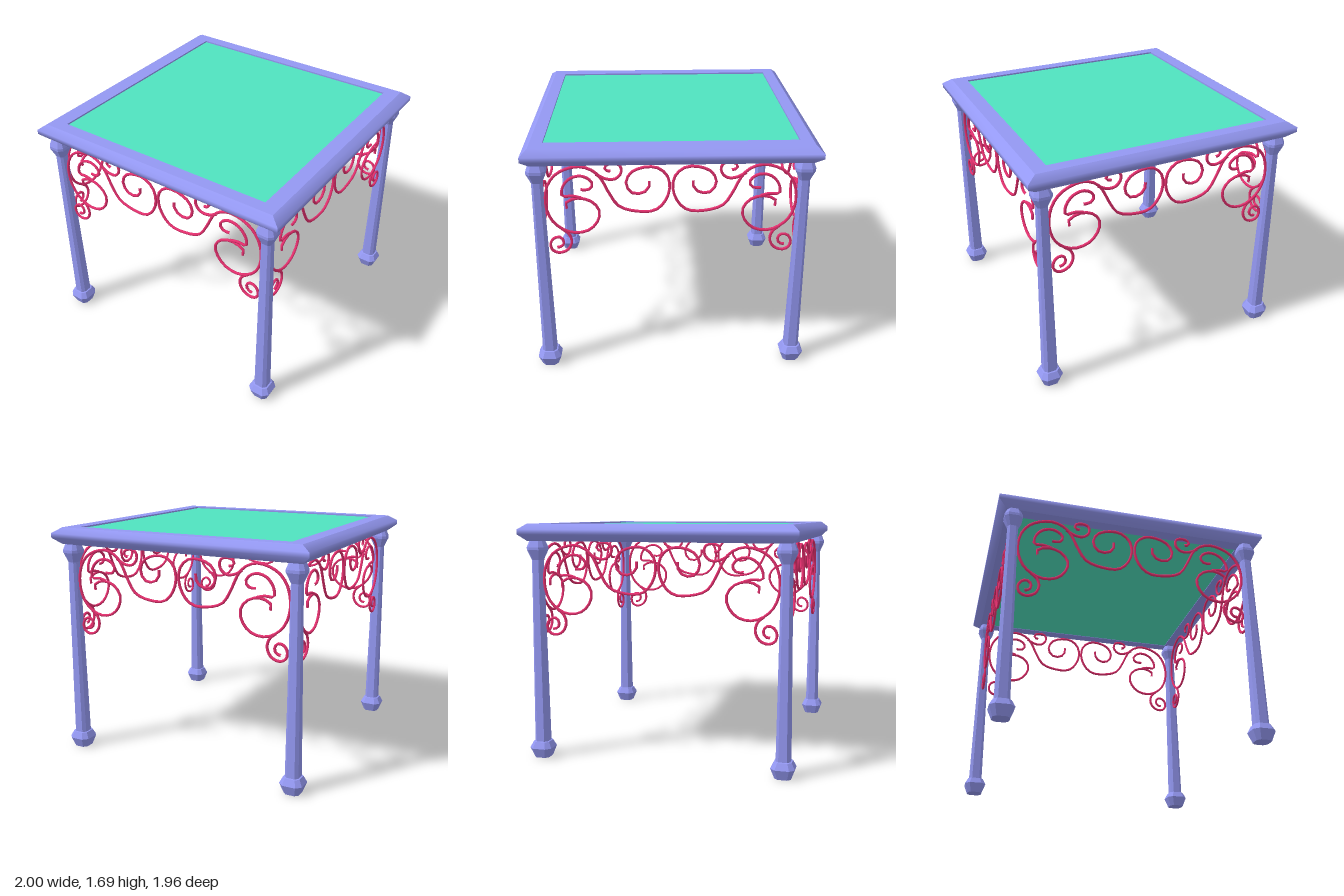
import * as THREE from 'three';

const frameMat = new THREE.MeshStandardMaterial({ color: 0x9498f2 });
const legMat = new THREE.MeshStandardMaterial({ color: 0x9498f2, flatShading: true });
const panelMat = new THREE.MeshStandardMaterial({ color: 0x50e2bf });
const ironMat = new THREE.MeshStandardMaterial({ color: 0xe83070 });

// Mitred rim: each strip is a run of [halfX, halfZ, y] swept along four sides,
// smooth within a strip and sharp between strips
const rimStrips = [
  [[0.83, 0.845, 1.573], [0.83, 0.845, 1.694]],
  [[0.83, 0.845, 1.694], [0.935, 0.93, 1.694]],
  [[0.935, 0.93, 1.694], [1, 0.978, 1.654], [1, 0.978, 1.62], [0.94, 0.93, 1.573]],
  [[0.94, 0.93, 1.573], [0.83, 0.845, 1.573]],
];
function rimGeometry() {
  const corners = [[-1, 1], [1, 1], [1, -1], [-1, -1]];
  const pos = [], index = [];
  corners.forEach((a, k) => {
    const b = corners[(k + 1) % 4];
    for (const strip of rimStrips) {
      strip.forEach(([hx, hz, y], i) => {
        const n = pos.length / 3;
        pos.push(a[0] * hx, y, a[1] * hz, b[0] * hx, y, b[1] * hz);
        if (i < strip.length - 1) index.push(n, n + 2, n + 3, n, n + 3, n + 1);
      });
    }
  });
  const g = new THREE.BufferGeometry();
  g.setAttribute('position', new THREE.Float32BufferAttribute(pos, 3));
  g.setIndex(index);
  g.computeVertexNormals();
  return g;
}

// Leg: [distance from axis to flat, height], eight-sided with narrow corner chamfers
const legProfile = [
  [0, 0], [0.056, 0], [0.083, 0.072], [0.06, 0.118], [0.05, 0.12],
  [0.036, 1.44], [0.065, 1.51], [0.065, 1.53], [0.046, 1.58], [0, 1.58],
].map(([r, y]) => new THREE.Vector2(r / Math.cos(Math.PI / 8), y));
function legGeometry() {
  const g = new THREE.LatheGeometry(legProfile, 8, Math.PI / 8);
  const p = g.attributes.position;
  for (let i = 0; i < p.count; i++) {
    // widen the four main faces so the corner faces become chamfers
    const x = p.getX(i), z = p.getZ(i);
    if (Math.abs(x) < Math.abs(z)) p.setX(i, x * 1.4);
    else p.setZ(i, z * 1.4);
  }
  return g;
}

// Scrollwork for one half of a side, as [x, y] centre lines
const scrolls = {
  // lower curl, up round the corner arch, down to the middle curl
  mainScroll: [
    [-0.70, 1.245], [-0.71, 1.275], [-0.68, 1.303], [-0.61, 1.318], [-0.53, 1.29], [-0.485, 1.23],
    [-0.49, 1.16], [-0.55, 1.085], [-0.64, 1.06], [-0.72, 1.08], [-0.80, 1.15], [-0.84, 1.27],
    [-0.82, 1.41], [-0.75, 1.50], [-0.61, 1.545], [-0.51, 1.51], [-0.46, 1.45], [-0.42, 1.365],
    [-0.345, 1.252], [-0.18, 1.212], [-0.105, 1.225], [-0.05, 1.275], [-0.012, 1.37], [-0.025, 1.47],
    [-0.09, 1.53], [-0.18, 1.535], [-0.27, 1.495], [-0.30, 1.42], [-0.265, 1.355], [-0.19, 1.35],
    [-0.148, 1.395], [-0.146, 1.44],
  ],
  lowerCurl: [
    [-0.74, 1.09], [-0.695, 1.05], [-0.68, 0.99], [-0.71, 0.93], [-0.77, 0.908], [-0.815, 0.93],
    [-0.825, 0.98], [-0.80, 1.02], [-0.76, 1.028], [-0.735, 1.00], [-0.745, 0.96], [-0.78, 0.95],
  ],
  innerCurl: [
    [-0.60, 1.32], [-0.66, 1.335], [-0.725, 1.335], [-0.72, 1.40], [-0.67, 1.46], [-0.60, 1.478],
    [-0.545, 1.455], [-0.522, 1.415], [-0.55, 1.38], [-0.60, 1.38],
  ],
  upperCurl: [
    [-0.50, 1.49], [-0.43, 1.455], [-0.37, 1.455], [-0.33, 1.50], [-0.338, 1.55], [-0.385, 1.565],
    [-0.43, 1.55], [-0.435, 1.52], [-0.40, 1.51],
  ],
};
function scrollGeometry(points, side) {
  const curve = new THREE.CatmullRomCurve3(points.map(([x, y]) => new THREE.Vector3(side * x, y, 0)));
  return new THREE.TubeGeometry(curve, points.length * 2, 0.01, 6);
}

export function createModel() {
  const model = new THREE.Group();
  model.name = 'table';
  const add = (parent, name, geometry, material) => {
    const mesh = new THREE.Mesh(geometry, material);
    mesh.name = name;
    parent.add(mesh);
    return mesh;
  };

  // Tabletop: rim and thick panel, slightly recessed above and nearly flush below
  add(model, 'topRim', rimGeometry(), frameMat);
  add(model, 'topPanel', new THREE.BoxGeometry(1.66, 0.105, 1.69), panelMat).position.y = 1.63;

  // Legs and scrollwork sit a touch forward of the tabletop's centre
  const base = new THREE.Group();
  base.name = 'base';
  base.position.z = 0.006;
  model.add(base);

  // Four legs
  const leg = legGeometry();
  for (const x of [-0.885, 0.885])
    for (const z of [-0.885, 0.885])
      add(base, 'leg', leg, legMat).position.set(x, 0, z);

  // Scrollwork panels between the legs, each half mirrored
  const parts = [];
  for (const side of [1, -1])
    for (const [name, points] of Object.entries(scrolls))
      parts.push([name, scrollGeometry(points, side)]);
  for (let k = 0; k < 4; k++) {
    const panel = new THREE.Group();
    panel.name = 'scrollPanel';
    for (const [name, geometry] of parts) add(panel, name, geometry, ironMat);
    const angle = k * Math.PI / 2;
    panel.rotation.y = angle;
    panel.position.set(0.885 * Math.sin(angle), 0, 0.885 * Math.cos(angle));
    base.add(panel);
  }
  return model;
}
